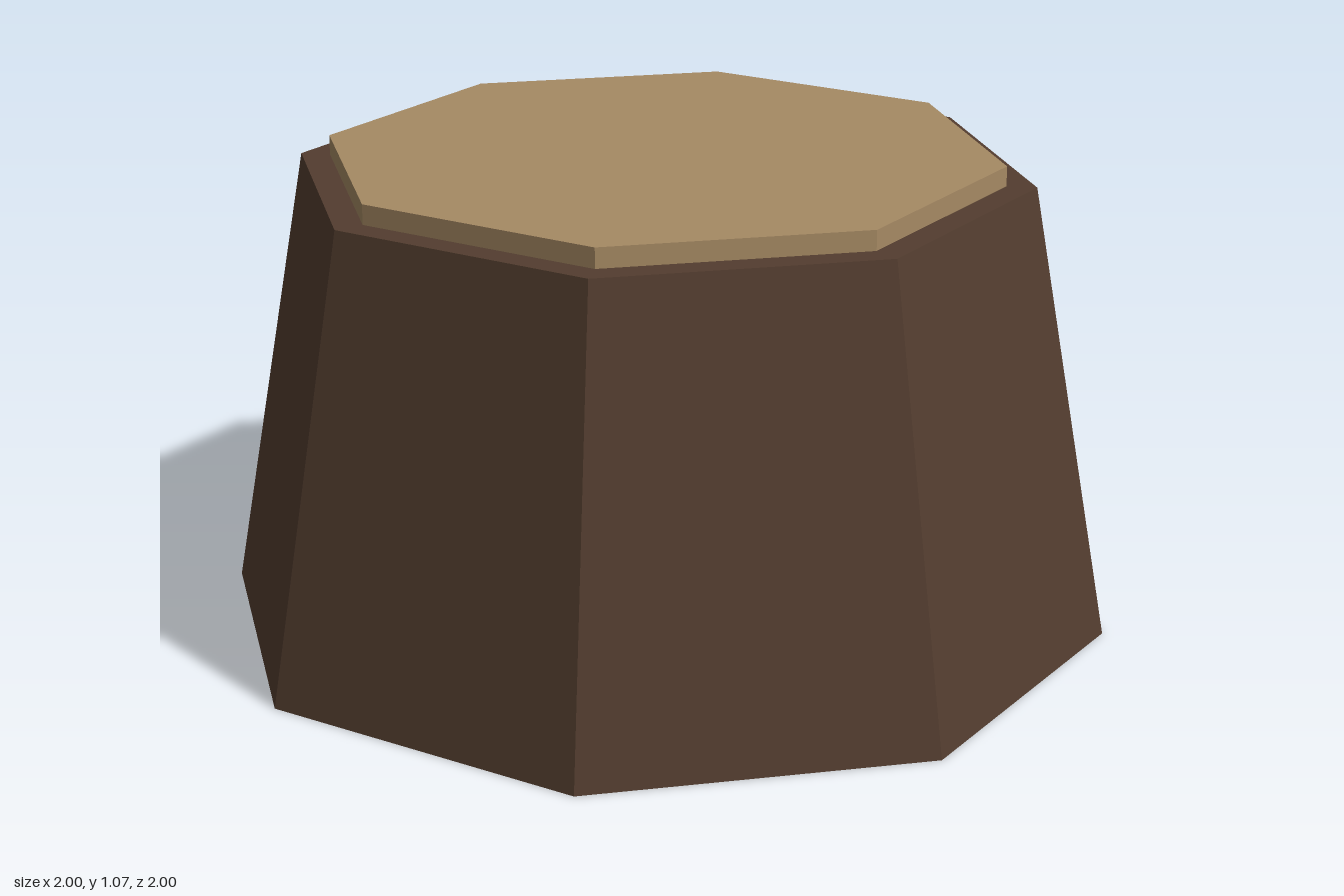
import * as THREE from 'three';

const SIDES = 8;

// Upright eight-sided prism or frustum standing on the given height
function octagon(name, topRadius, bottomRadius, bottom, top, material) {
  const geometry = new THREE.CylinderGeometry(topRadius, bottomRadius, top - bottom, SIDES);
  geometry.translate(0, (top + bottom) / 2, 0);
  const mesh = new THREE.Mesh(geometry, material);
  mesh.name = name;
  return mesh;
}

export function createModel() {
  const bark = new THREE.MeshStandardMaterial({ color: 0x533d2f });
  bark.name = 'bark';
  bark.flatShading = true;
  const cutWood = new THREE.MeshStandardMaterial({ color: 0xa68a64 });
  cutWood.name = 'cut wood';
  cutWood.flatShading = true;

  const stump = new THREE.Group();
  stump.name = 'treeStump';

  // Tapered trunk
  stump.add(octagon('trunk', 0.816, 1, 0, 1.024, bark));

  // Pale cut face, set slightly into the trunk
  stump.add(octagon('cutTop', 0.75, 0.75, 0.98, 1.068, cutWood));

  return stump;
}
